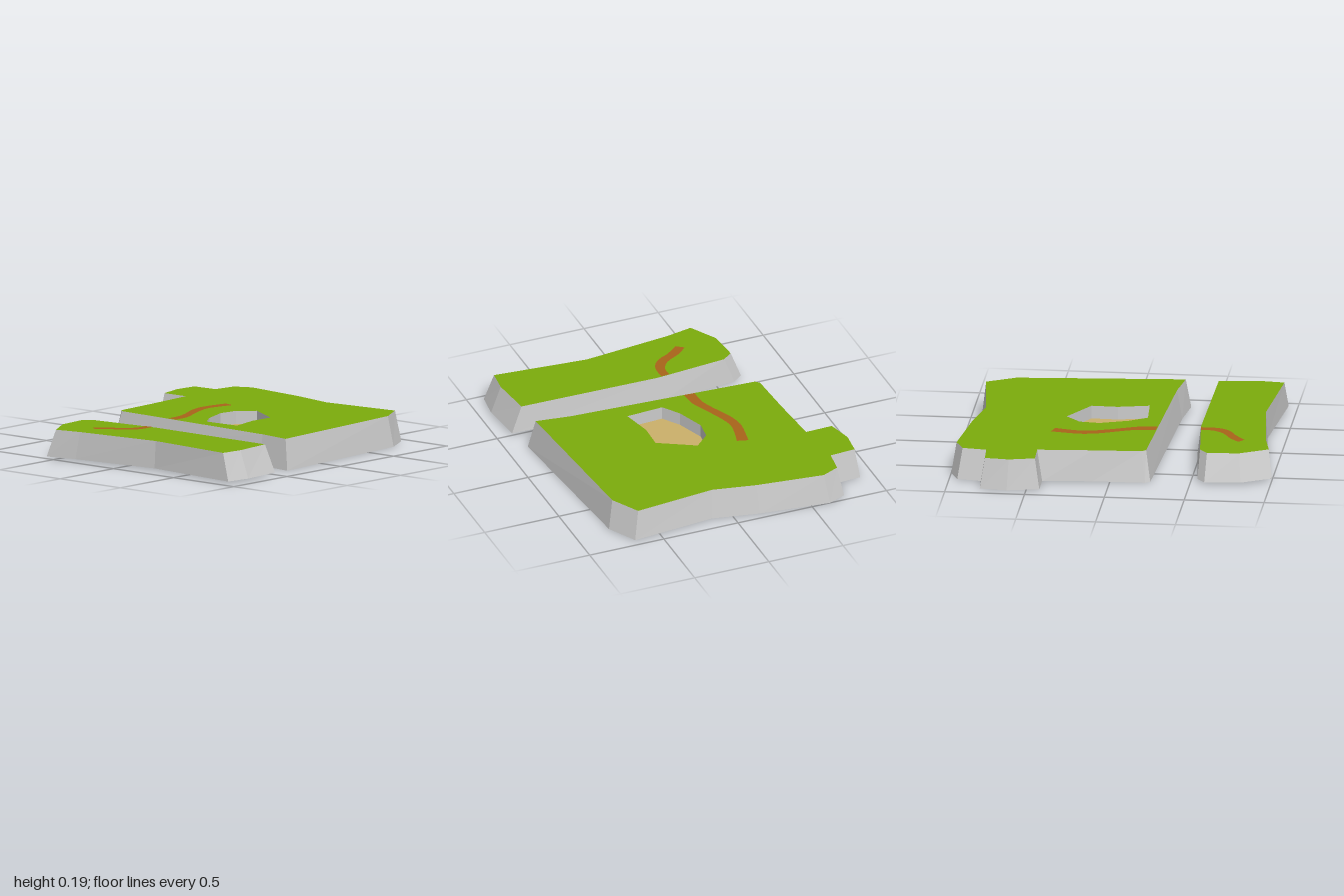
import * as THREE from 'three';

const grass = new THREE.MeshStandardMaterial({ name: 'grass green', color: 0x7cac0c });
const stone = new THREE.MeshStandardMaterial({ name: 'stone grey', color: 0xcccccc });
const darkStone = new THREE.MeshStandardMaterial({ name: 'dark stone', color: 0x787878 });
const earth = new THREE.MeshStandardMaterial({ name: 'path brown', color: 0xa9641a });
const sand = new THREE.MeshStandardMaterial({ name: 'sand tan', color: 0xcbb06a });

// Outlines are flat lists of x, z pairs, clockwise seen from above.
const pairs = (list) => {
  const out = [];
  for (let i = 0; i < list.length; i += 2) out.push([list[i], list[i + 1]]);
  return out;
};

function part(name, geometry, material) {
  const mesh = new THREE.Mesh(geometry, material);
  mesh.name = name;
  return mesh;
}

// Flat face at height y, looking up (dir = 1) or down (dir = -1)
function face(outline, y, dir = 1, hole) {
  const pts = (o) => o.map(([x, z]) => new THREE.Vector2(x, -dir * z));
  const shape = new THREE.Shape(pts(outline));
  if (hole) shape.holes.push(new THREE.Path(pts(hole)));
  return new THREE.ShapeGeometry(shape).rotateX(-dir * Math.PI / 2).translate(0, y, 0);
}

// Faceted wall between an upper and a lower outline
function wall(top, bottom, yTop, yBottom) {
  const v = [];
  top.forEach((t, i) => {
    const j = (i + 1) % top.length;
    const a = [t[0], yTop, t[1]], b = [top[j][0], yTop, top[j][1]];
    const c = [bottom[j][0], yBottom, bottom[j][1]], d = [bottom[i][0], yBottom, bottom[i][1]];
    v.push(...a, ...b, ...c, ...a, ...c, ...d);
  });
  const g = new THREE.BufferGeometry();
  g.setAttribute('position', new THREE.Float32BufferAttribute(v, 3));
  g.computeVertexNormals();
  return g;
}

function slab(name, top, bottom, yTop, yBottom, underside, hole) {
  const group = new THREE.Group();
  group.name = name;
  group.add(
    part(name + 'Grass', face(top, yTop, 1, hole), grass),
    part(name + 'Cliff', wall(top, bottom, yTop, yBottom), stone),
    part(name + 'Underside', face(bottom, yBottom, -1), underside)
  );
  return group;
}

// Curved path laid on the grass between two edge curves
function trail(name, left, right, y) {
  const smooth = (list) => new THREE.SplineCurve(list.map(([x, z]) => new THREE.Vector2(x, z)))
    .getPoints(18).map((p) => [p.x, p.y]);
  return part(name, face([...smooth(left), ...smooth(right).reverse()], y + 0.002), earth);
}

export function createModel() {
  const model = new THREE.Group();
  model.name = 'splitIsland';

  // Large slab with a sunken pit
  const mainTop = pairs([-0.59, -0.97, -0.16, -0.92, 0.12, -0.865, 0.64, -0.92, 0.74, -0.74, 0.82, 0.31,
    0.6, 0.28, -0.62, 0.22, -0.645, 0.195, -0.66, -0.11, -0.685, -0.455, -0.86, -0.45,
    -0.9, -0.61, -0.885, -0.76, -0.72, -0.77, -0.7, -0.92]);
  const mainBottom = pairs([-0.62, -1, -0.17, -0.95, 0.13, -0.89, 0.67, -0.945, 0.77, -0.76, 0.86, 0.34,
    0.62, 0.31, -0.66, 0.25, -0.685, 0.22, -0.69, -0.11, -0.72, -0.42, -0.885, -0.42,
    -0.93, -0.62, -0.91, -0.79, -0.76, -0.8, -0.735, -0.95]);
  const pit = pairs([0, -0.345, 0.23, -0.215, 0.225, -0.05, 0.27, 0.145, 0.03, 0.16,
    -0.045, 0.05, -0.11, -0.13, -0.095, -0.255]);
  const yMain = 0.193, yPit = 0.11;
  const main = slab('mainLand', mainTop, mainBottom, yMain, 0, stone, pit);
  const inward = [...pit].reverse();
  main.add(
    part('pitWall', wall(inward, inward, yMain, yPit), stone),
    part('pitFloor', face(pit, yPit), sand),
    trail('mainPath',
      pairs([-0.315, -0.41, -0.34, -0.265, -0.34, -0.185, -0.315, -0.09, -0.26, 0.03, -0.225, 0.13, -0.22, 0.235]),
      pairs([-0.245, -0.39, -0.27, -0.29, -0.28, -0.195, -0.25, -0.09, -0.2, 0.03, -0.16, 0.13, -0.15, 0.24]), yMain)
  );

  // Narrow slab in front, across the gap
  const frontTop = pairs([-0.615, 0.6, -0.55, 0.55, -0.09, 0.505, 0.83, 0.515, 0.86, 0.78, 0.845, 0.925,
    0.24, 0.875, -0.33, 0.94, -0.5, 0.975, -0.6, 0.8]);
  const frontBottom = pairs([-0.68, 0.59, -0.615, 0.54, -0.1, 0.485, 0.9, 0.5, 0.925, 0.78, 0.905, 0.945,
    0.24, 0.885, -0.355, 0.955, -0.555, 1, -0.66, 0.815]);
  const yFront = 0.186;
  const front = slab('frontLand', frontTop, frontBottom, yFront, 0.014, darkStone);
  front.add(trail('frontPath',
    pairs([-0.165, 0.514, -0.165, 0.58, -0.195, 0.635, -0.235, 0.67, -0.315, 0.715, -0.375, 0.77]),
    pairs([-0.11, 0.508, -0.11, 0.6, -0.14, 0.67, -0.195, 0.715, -0.245, 0.74, -0.33, 0.805]), yFront));

  model.add(main, front);
  return model;
}
